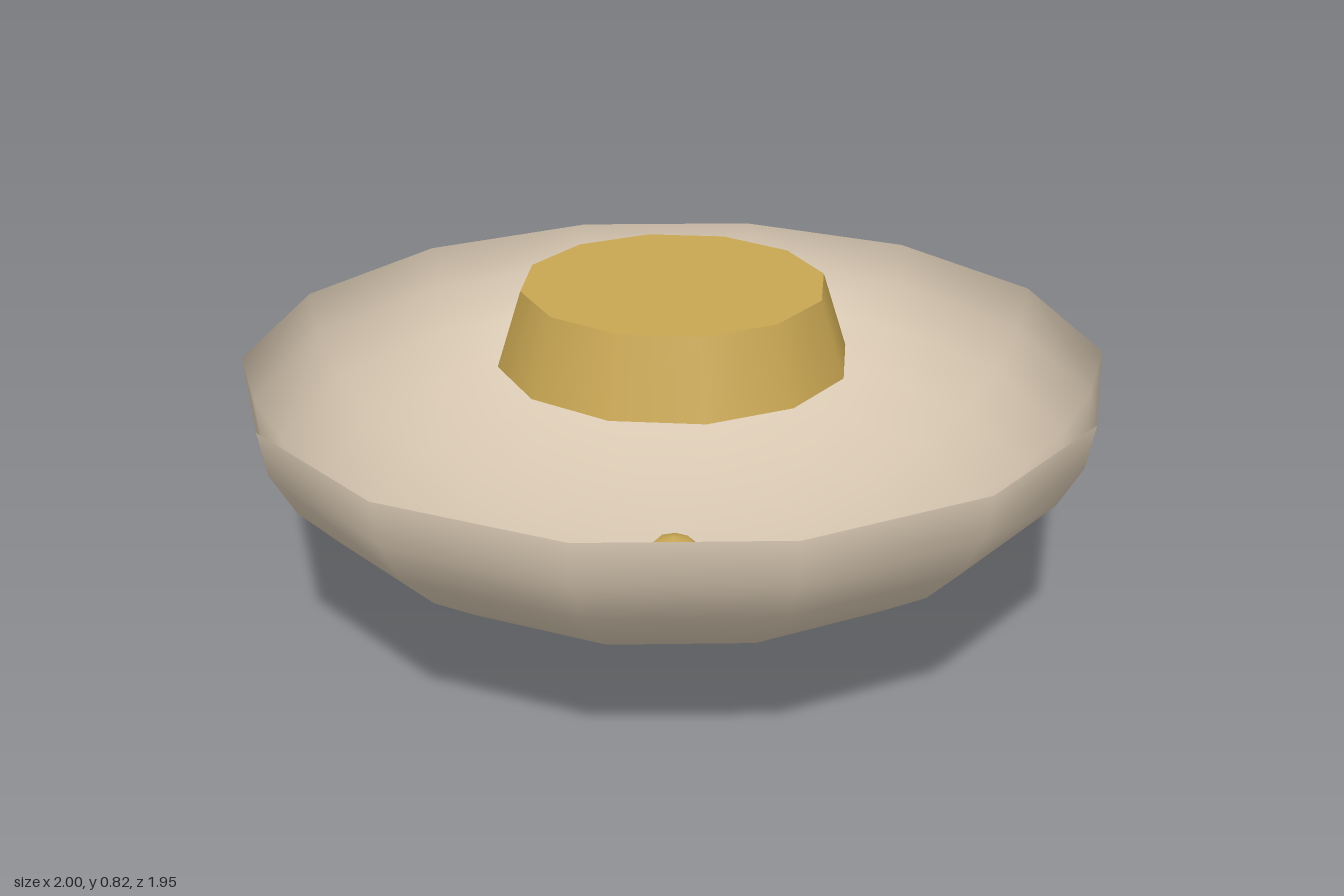
import * as THREE from 'three';

export function createModel() {
  const group = new THREE.Group();
  const cream = new THREE.MeshStandardMaterial({ color: 0xd8c8b2, side: THREE.DoubleSide });
  cream.name = 'creamGlass';
  const brass = new THREE.MeshStandardMaterial({ color: 0xc8a652 });
  brass.name = 'brass';

  const add = (name, geometry, material, y) => {
    const mesh = new THREE.Mesh(geometry, material);
    mesh.name = name;
    mesh.position.y = y;
    group.add(mesh);
  };

  // Open, flattened half-sphere bowl with its rim at the top
  const bowl = new THREE.SphereGeometry(1, 14, 8, 0, Math.PI * 2, Math.PI / 2, Math.PI / 2);
  bowl.scale(1, 0.54, 1);
  add('bowl', bowl, cream, 0.647);

  // Tapered ceiling mount, level with the rim
  add('ceilingMount', new THREE.CylinderGeometry(0.353, 0.41, 0.18, 12), brass, 0.735);

  // Small ball under the bowl
  add('finial', new THREE.SphereGeometry(0.088, 8, 6), brass, 0.088);

  return group;
}
